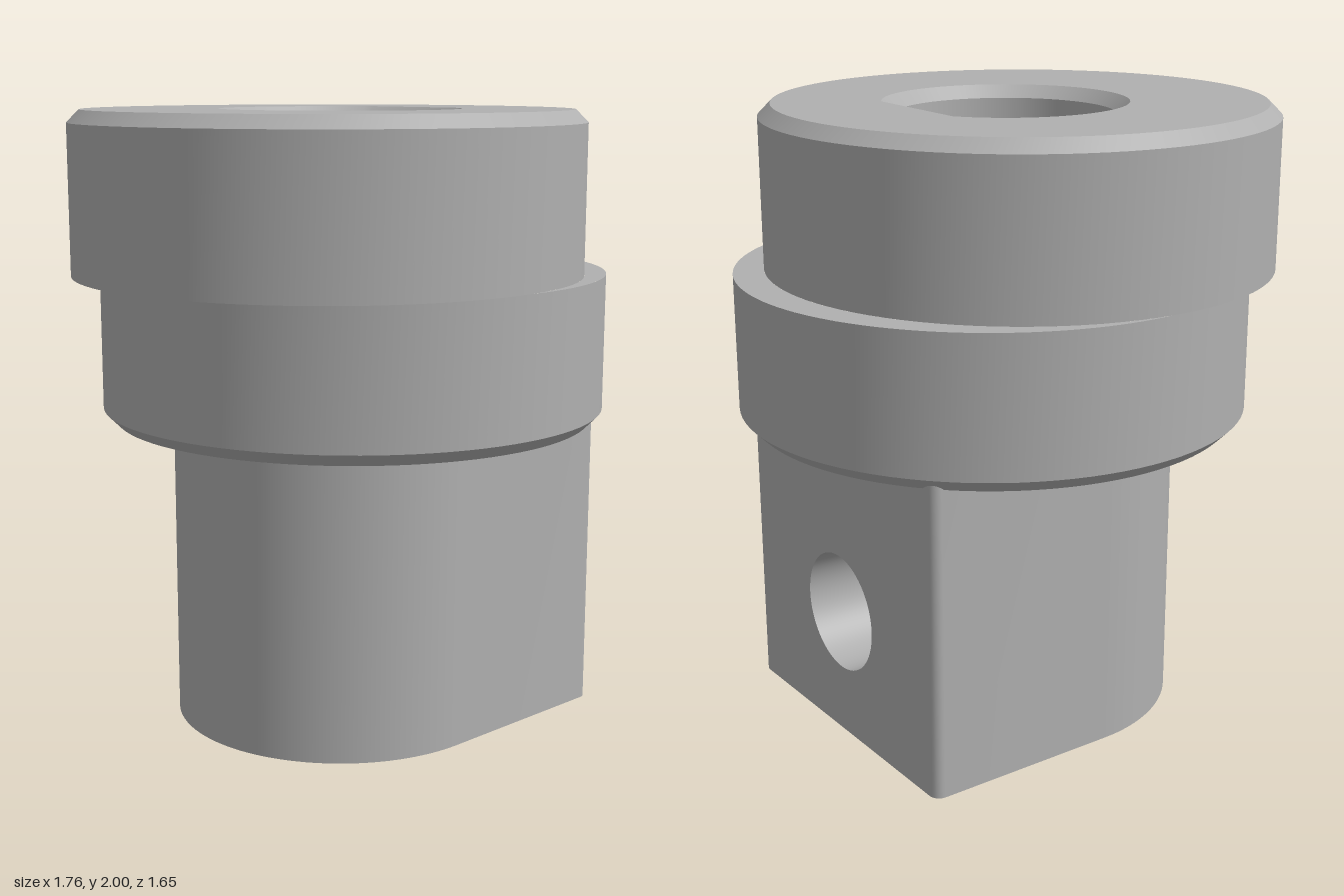
import * as THREE from 'three';
import { toCreasedNormals } from 'three/addons/utils/BufferGeometryUtils.js';

const R = 0.823, OFF = 0.055, CH = 0.04;          // eccentric discs and chamfer size
const BORE = 0.35, FLAT = 0.295;                  // D-shaped bore
const SHANK = 0.55, FACE = 0.655, FILLET = 0.035; // D-shaped shank
const HOLE_Y = 0.42, HOLE_R = 0.195;              // cross hole
const STEP_Y = 1.48, COLLAR_Y = 1, TOP_Y = 2;

// Points along an arc, end points included
function arc(cx, cy, r, a0, a1, n) {
  return Array.from({ length: n + 1 }, (_, i) => {
    const a = a0 + (a1 - a0) * i / n;
    return new THREE.Vector2(cx + r * Math.cos(a), cy + r * Math.sin(a));
  });
}
const circle = (cx, cy, r, n = 96) => arc(cx, cy, r, 0, Math.PI * 2, n).slice(0, -1);

// Circle cut by a straight flat on the +x side
function dOutline(r, flat) {
  const a = Math.acos(flat / r);
  return arc(0, 0, r, a, Math.PI * 2 - a, 72);
}

// Lay a plan outline at a height
const level = (pts, y) => pts.map(p => new THREE.Vector3(p.x, y, -p.y));

// Skin through equal-length cross-sections
function loft(sections, closed) {
  const pos = [], n = sections[0].length;
  for (let s = 0; s + 1 < sections.length; s++) {
    const lo = sections[s], hi = sections[s + 1];
    for (let i = 0; i < (closed ? n : n - 1); i++) {
      const j = (i + 1) % n;
      for (const p of [lo[i], lo[j], hi[j], lo[i], hi[j], hi[i]]) pos.push(p.x, p.y, p.z);
    }
  }
  const g = new THREE.BufferGeometry();
  g.setAttribute('position', new THREE.Float32BufferAttribute(pos, 3));
  return toCreasedNormals(g, 0.5);
}

// Flat plate with an optional hole
function plate(pts, hole) {
  const shape = new THREE.Shape(pts);
  if (hole) shape.holes.push(new THREE.Path(hole));
  return new THREE.ShapeGeometry(shape);
}
const capUp = (pts, hole, y) => plate(pts, hole).rotateX(-Math.PI / 2).translate(0, y, 0);
const capDown = (pts, hole, y) => plate(pts, hole).rotateX(Math.PI / 2).translate(0, y, 0);

export function createModel() {
  const model = new THREE.Group();
  model.name = 'eccentricBushing';
  const steel = new THREE.MeshStandardMaterial({ color: 0xb0b0b0 });
  steel.name = 'steel grey';

  const group = name => {
    const g = new THREE.Group();
    g.name = name;
    model.add(g);
    return g;
  };
  const add = (parent, name, geometry) => {
    const m = new THREE.Mesh(geometry, steel);
    m.name = name;
    parent.add(m);
  };

  const mouth = dOutline(BORE + CH, FLAT + CH);
  const bore = dOutline(BORE, FLAT);

  // Crescent where one disc overhangs the other (towards +x)
  const t = Math.acos(-OFF / R), u = Math.acos(OFF / R);
  const crescent = [...arc(OFF, 0, R, -t, t, 72), ...arc(-OFF, 0, R, u, -u, 72).slice(1, -1)];

  // Upper disc, shifted to -x
  const upper = group('upperDisc');
  const upperRim = circle(-OFF, 0, R), upperTop = circle(-OFF, 0, R - CH);
  add(upper, 'upperDiscWall', loft([level(upperRim, STEP_Y), level(upperRim, TOP_Y - CH), level(upperTop, TOP_Y)], true));
  add(upper, 'upperDiscTop', capUp(upperTop, mouth, TOP_Y));
  add(upper, 'upperDiscOverhang', capDown(crescent.map(p => new THREE.Vector2(-p.x, p.y)), null, STEP_Y));

  // Lower disc, shifted to +x
  const lower = group('lowerDisc');
  const lowerRim = circle(OFF, 0, R), lowerBase = circle(OFF, 0, R - CH);
  add(lower, 'lowerDiscWall', loft([level(lowerBase, COLLAR_Y), level(lowerRim, COLLAR_Y + CH), level(lowerRim, STEP_Y)], true));
  add(lower, 'lowerDiscLedge', capUp(crescent, null, STEP_Y));
  add(lower, 'lowerDiscUnderside', capDown(lowerBase, bore, COLLAR_Y));

  // Shank: round towards -x, flat face with filleted corners towards +x
  const shank = group('shank');
  const c = SHANK - FILLET, q = Math.PI / 2, top = COLLAR_Y + CH;
  const outline = [
    ...arc(FACE - FILLET, c, FILLET, 0, q, 6),
    ...arc(0, 0, SHANK, q, 3 * q, 60),
    ...arc(FACE - FILLET, -c, FILLET, -q, 0, 6),
  ];
  add(shank, 'shankWall', loft([level(outline, 0), level(outline, top)], false));
  add(shank, 'shankBase', capDown(outline, mouth, 0));
  const rect = (w, y0, y1) => [[-w, y0], [w, y0], [w, y1], [-w, y1]].map(p => new THREE.Vector2(...p));
  add(shank, 'shankFace', plate(rect(c, 0, top), circle(0, HOLE_Y, HOLE_R, 64))
    .rotateY(q).translate(FACE, 0, 0));

  // Through bore with chamfered mouths; its flat is pierced by the cross hole
  const boreGroup = group('bore');
  const half = Math.sqrt(BORE * BORE - FLAT * FLAT), innerR = half - 0.002;
  add(boreGroup, 'boreTopChamfer', loft([level(mouth, TOP_Y), level(bore, TOP_Y - CH)], true));
  add(boreGroup, 'boreWall', loft([level(bore, TOP_Y - CH), level(bore, CH)], false));
  add(boreGroup, 'boreBottomChamfer', loft([level(bore, CH), level(mouth, 0)], true));
  add(boreGroup, 'boreFlat', plate(rect(half, CH, TOP_Y - CH), circle(0, HOLE_Y, innerR, 64))
    .rotateY(-q).translate(FLAT, 0, 0));

  // Cross hole from the flat face into the bore
  const ring = (x, r) => circle(0, HOLE_Y, r, 64).map(p => new THREE.Vector3(x, p.y, p.x));
  add(boreGroup, 'crossHole', loft([ring(FLAT, innerR), ring(FACE, HOLE_R)], true));

  return model;
}
